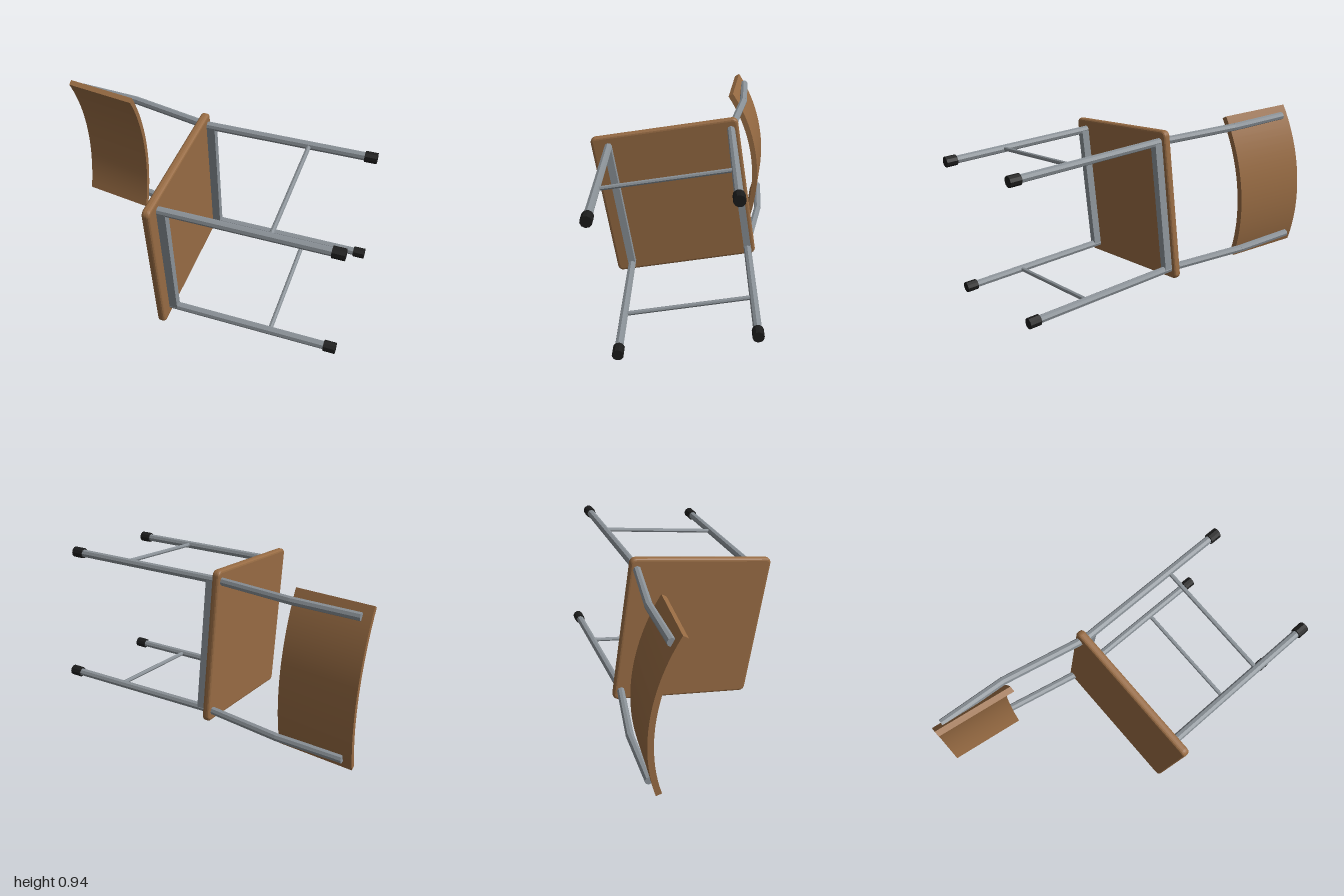
import * as THREE from 'three';

const wood = new THREE.MeshStandardMaterial({ name: 'wood', color: 0x976b43 });
const metal = new THREE.MeshStandardMaterial({ name: 'metal', color: 0x8a9197, flatShading: true });
const rubber = new THREE.MeshStandardMaterial({ name: 'rubber', color: 0x1c1c1c, flatShading: true });

function add(parent, name, geometry, material) {
  const mesh = new THREE.Mesh(geometry, material);
  mesh.name = name;
  parent.add(mesh);
  return mesh;
}

// Straight round bar between two points
function bar(parent, name, from, to, radius, material, sides = 8) {
  const a = new THREE.Vector3(...from), b = new THREE.Vector3(...to);
  const dir = b.clone().sub(a);
  const mesh = add(parent, name, new THREE.CylinderGeometry(radius, radius, dir.length(), sides), material);
  mesh.position.copy(a).add(b).multiplyScalar(0.5);
  mesh.quaternion.setFromUnitVectors(new THREE.Vector3(0, 1, 0), dir.normalize());
  return mesh;
}

// Square board with small rounded corners and a rounded rim
function seatGeometry(width, depth, thickness) {
  const bevel = 0.015, r = 0.015;
  const w = width / 2 - bevel, d = depth / 2 - bevel;
  const shape = new THREE.Shape();
  shape.absarc(w - r, d - r, r, 0, Math.PI / 2);
  shape.absarc(-w + r, d - r, r, Math.PI / 2, Math.PI);
  shape.absarc(-w + r, -d + r, r, Math.PI, Math.PI * 1.5);
  shape.absarc(w - r, -d + r, r, Math.PI * 1.5, Math.PI * 2);
  const geo = new THREE.ExtrudeGeometry(shape, {
    depth: thickness - 2 * bevel, bevelThickness: bevel, bevelSize: bevel, bevelSegments: 3, curveSegments: 4,
  });
  geo.center();
  return geo.rotateX(-Math.PI / 2);
}

// Slab bent round an upright axis and leaned back
function backrestGeometry() {
  const height = 0.41, thickness = 0.031, radius = 0.963, halfAngle = 0.428, lean = 0.14;
  const geo = new THREE.BoxGeometry(2, height, thickness, 20, 1, 1);
  const p = geo.attributes.position;
  for (let i = 0; i < p.count; i++) {
    const angle = p.getX(i) * halfAngle;
    const r = radius + thickness / 2 - p.getZ(i);
    const y = p.getY(i);
    p.setX(i, Math.sin(angle) * r);
    p.setZ(i, radius - Math.cos(angle) * r - (y + height / 2) * lean);
  }
  geo.computeVertexNormals();
  return geo;
}

export function createModel() {
  const model = new THREE.Group();
  model.name = 'chair';
  const chair = new THREE.Group();
  chair.name = 'chairBody';
  model.add(chair);

  const legX = 0.358, legZ = 0.337, legR = 0.0215;

  // Seat and backrest
  add(chair, 'seat', seatGeometry(0.835, 0.81, 0.043), wood).position.set(0, 0.9, 0.025);
  add(chair, 'backrest', backrestGeometry(), wood).position.set(0, 1.543, -0.433);

  // Legs, back posts, side stretchers and rubber feet
  for (const s of [-1, 1]) {
    const side = s > 0 ? 'left' : 'right';
    const x = s * legX;
    bar(chair, side + 'FrontLeg', [x, 0, legZ], [x, 0.885, legZ], legR, metal);
    bar(chair, side + 'RearLeg', [x, 0, -legZ], [x, 0.905, -legZ], legR, metal);
    bar(chair, side + 'LowerBackPost', [x, 0.89, -legZ], [x, 1.342, -0.43], legR, metal);
    bar(chair, side + 'UpperBackPost', [x, 1.338, -0.43], [x, 1.7, -0.455], legR, metal);
    bar(chair, side + 'Stretcher', [x, 0.32, -legZ], [x, 0.32, legZ], 0.012, metal);
    for (const z of [-legZ, legZ]) {
      bar(chair, side + (z > 0 ? 'FrontFoot' : 'RearFoot'), [x, -0.031, z], [x, 0.031, z], 0.029, rubber, 10);
    }
  }

  // Cross rails under the seat
  for (const z of [-legZ, legZ]) {
    const rail = add(chair, z > 0 ? 'frontRail' : 'rearRail', new THREE.BoxGeometry(legX * 2, 0.046, 0.04), metal);
    rail.position.set(0, 0.857, z);
  }

  // The chair lies tipped over on its side
  const forward = new THREE.Vector3(0.49, -0.141, 0.861).normalize();
  const side = new THREE.Vector3(0.07, 0.99, 0.119);
  side.addScaledVector(forward, -side.dot(forward)).normalize();
  const up = new THREE.Vector3().crossVectors(forward, side);
  chair.quaternion.setFromRotationMatrix(new THREE.Matrix4().makeBasis(side, up, forward));
  chair.position.set(0.77, 0.4755, -0.2475);
  return model;
}
